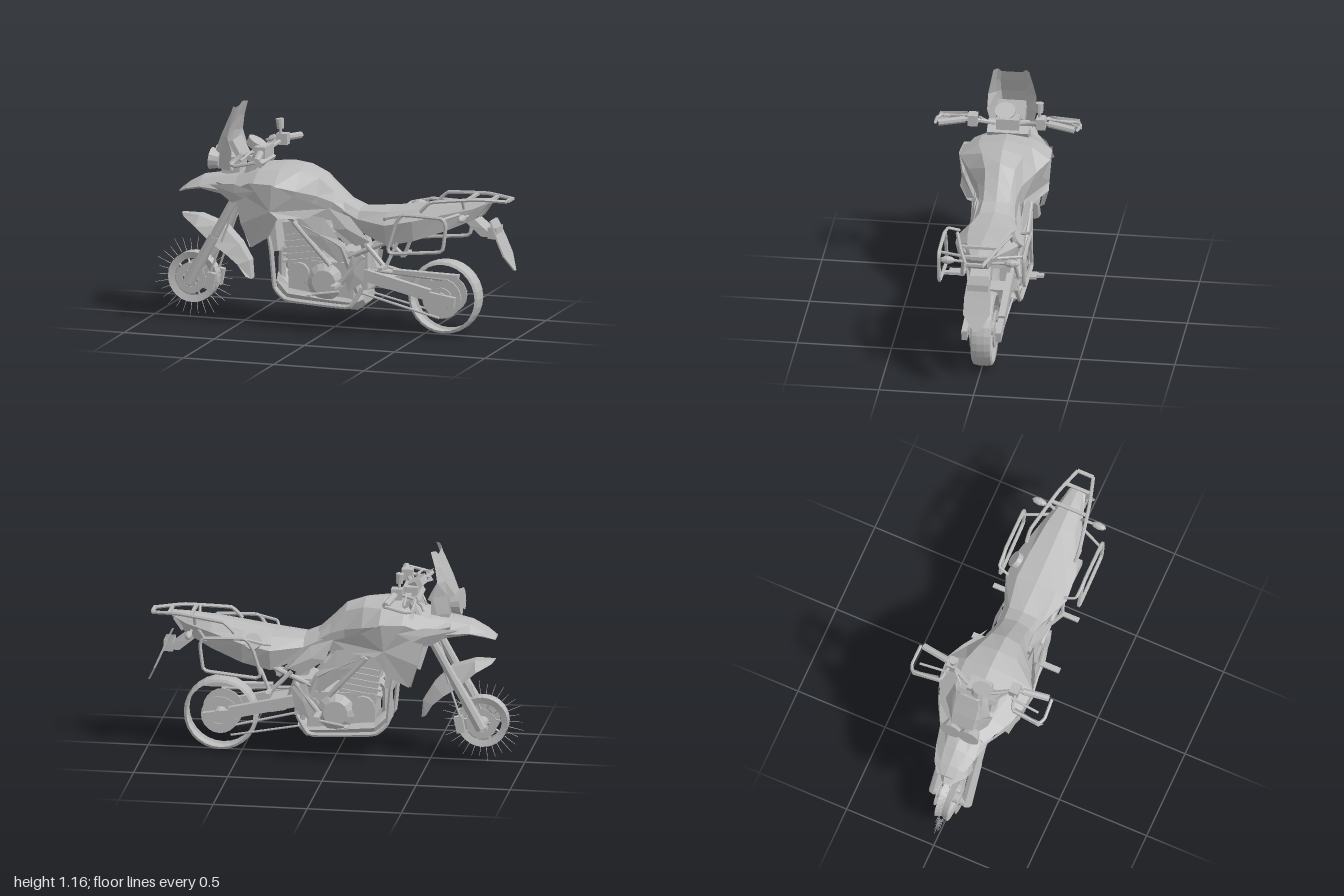
import * as THREE from 'three';

const grey = new THREE.MeshStandardMaterial({ color: 0xbababa, flatShading: true, side: THREE.DoubleSide });
grey.name = 'plain grey';
const V = (p) => new THREE.Vector3(...p);

export function createModel() {
  const root = new THREE.Group();
  root.name = 'motorcycle';

  const add = (name, geo, pos = [0, 0, 0], rot = [0, 0, 0]) => {
    const m = new THREE.Mesh(geo, grey);
    m.name = name;
    m.position.set(...pos);
    m.rotation.set(...rot);
    root.add(m);
    return m;
  };
  const box = (name, size, pos, rotZ = 0) => add(name, new THREE.BoxGeometry(...size), pos, [0, 0, rotZ]);
  // Cylinder lying along z
  const disc = (name, r, depth, pos, sides = 16) =>
    add(name, new THREE.CylinderGeometry(r, r, depth, sides), pos, [Math.PI / 2, 0, 0]);
  // Straight rod between two points, optionally tapered
  const rod = (name, a, b, r, r2 = r, sides = 8) => {
    const d = V(b).sub(V(a));
    const m = add(name, new THREE.CylinderGeometry(r2, r, d.length(), sides));
    m.position.copy(V(a)).addScaledVector(d, 0.5);
    m.quaternion.setFromUnitVectors(new THREE.Vector3(0, 1, 0), d.normalize());
  };
  const bar = (name, pts, r, closed = false) =>
    add(name, new THREE.TubeGeometry(new THREE.CatmullRomCurve3(pts.map(V), closed, 'catmullrom', 0.15), pts.length * 6, r, 6, closed));
  const mirrored = (fn) => [1, -1].forEach(fn);
  const geometryFrom = (pos) => {
    const g = new THREE.BufferGeometry();
    g.setAttribute('position', new THREE.Float32BufferAttribute(pos, 3));
    g.computeVertexNormals();
    return g;
  };
  // Open sheet through rows of points
  const sheet = (name, rows) => {
    const pos = [];
    for (let i = 0; i < rows.length - 1; i++) for (let j = 0; j < rows[i].length - 1; j++) {
      const a = rows[i][j], b = rows[i + 1][j], c = rows[i + 1][j + 1], d = rows[i][j + 1];
      pos.push(...a, ...d, ...b, ...b, ...d, ...c);
    }
    return add(name, geometryFrom(pos));
  };
  // Thin faceted panel: fan about a slightly raised centre
  const panel = (name, pts, s, bulge = 0.015) => {
    const q = pts.map(([x, y, z]) => [x, y, z * s]);
    const c = [0, 1, 2].map((k) => q.reduce((t, p) => t + p[k], 0) / q.length);
    c[2] += s * bulge;
    const pos = [];
    q.forEach((p, i) => {
      const n = q[(i + 1) % q.length];
      pos.push(...c, ...(s > 0 ? n : p), ...(s > 0 ? p : n));
    });
    return add(name, geometryFrom(pos));
  };
  // Symmetric body from rows of [x, top y, shoulder y, w, side y, w, bottom y, w]
  const loft = (name, rows) => {
    const rings = rows.map(([x, t, sy, sw, my, mw, by, bw]) => [
      [x, t, 0], [x, sy, sw], [x, my, mw], [x, by, bw], [x, by, -bw], [x, my, -mw], [x, sy, -sw]]);
    const pos = [], n = 7, last = rings.length - 1;
    for (let i = 0; i < last; i++) for (let j = 0; j < n; j++) {
      const k = (j + 1) % n;
      const a = rings[i][j], d = rings[i][k], b = rings[i + 1][j], c = rings[i + 1][k];
      pos.push(...a, ...d, ...b, ...b, ...d, ...c);
    }
    for (let j = 1; j < n - 1; j++) {
      pos.push(...rings[0][0], ...rings[0][j + 1], ...rings[0][j]);
      pos.push(...rings[last][0], ...rings[last][j], ...rings[last][j + 1]);
    }
    return add(name, geometryFrom(pos));
  };
  const ring = (name, profile, pos, sides = 28) => {
    const g = new THREE.LatheGeometry(profile.map(([r, z]) => new THREE.Vector2(r, z)), sides);
    return add(name, g.rotateX(Math.PI / 2), pos);
  };

  // Bodywork
  loft('tank', [
    [-0.62, 0.80, 0.78, 0.06, 0.76, 0.12, 0.71, 0.07], [-0.5, 0.82, 0.80, 0.11, 0.75, 0.19, 0.66, 0.14],
    [-0.38, 0.865, 0.84, 0.14, 0.78, 0.235, 0.64, 0.19], [-0.26, 0.88, 0.85, 0.14, 0.78, 0.24, 0.62, 0.18],
    [-0.16, 0.875, 0.845, 0.11, 0.75, 0.18, 0.61, 0.14], [-0.06, 0.84, 0.81, 0.08, 0.72, 0.12, 0.60, 0.11],
    [0.02, 0.76, 0.74, 0.07, 0.69, 0.10, 0.59, 0.095], [0.1, 0.685, 0.67, 0.07, 0.64, 0.095, 0.57, 0.08]]);
  loft('seat and tail', [
    [0.05, 0.71, 0.70, 0.07, 0.66, 0.095, 0.60, 0.08], [0.16, 0.665, 0.65, 0.08, 0.61, 0.11, 0.55, 0.1],
    [0.33, 0.675, 0.66, 0.11, 0.60, 0.175, 0.485, 0.14], [0.48, 0.70, 0.685, 0.10, 0.63, 0.165, 0.52, 0.14],
    [0.65, 0.73, 0.715, 0.08, 0.67, 0.115, 0.58, 0.10], [0.79, 0.745, 0.735, 0.05, 0.70, 0.07, 0.64, 0.05],
    [0.87, 0.748, 0.744, 0.03, 0.735, 0.045, 0.725, 0.03]]);
  loft('beak', [
    [-0.85, 0.69, 0.685, 0.025, 0.68, 0.05, 0.675, 0.03], [-0.8, 0.73, 0.72, 0.05, 0.705, 0.085, 0.695, 0.07],
    [-0.72, 0.775, 0.76, 0.06, 0.725, 0.11, 0.71, 0.08], [-0.5, 0.81, 0.80, 0.09, 0.72, 0.16, 0.68, 0.12]]);
  mirrored((s) => {
    panel('side shroud', [[-0.5, 0.74, 0.18], [-0.4, 0.79, 0.235], [-0.27, 0.79, 0.245], [-0.16, 0.73, 0.21], [0.0, 0.66, 0.13],
      [-0.1, 0.61, 0.18], [-0.24, 0.61, 0.235], [-0.3, 0.50, 0.205], [-0.41, 0.43, 0.165], [-0.46, 0.56, 0.19]], s, 0.035);
    panel('shroud inner face', [[-0.5, 0.73, 0.18], [-0.46, 0.56, 0.18], [-0.42, 0.43, 0.16], [-0.34, 0.50, 0.11], [-0.38, 0.7, 0.1]], s, 0);
    panel('side wing', [[-0.66, 0.74, 0.11], [-0.5, 0.77, 0.19], [-0.36, 0.75, 0.25], [-0.44, 0.70, 0.22], [-0.52, 0.66, 0.15]], s);
    panel('side cover', [[0, 0.66, 0.11], [0.12, 0.62, 0.11], [0.24, 0.50, 0.14], [0.16, 0.47, 0.13], [0.04, 0.55, 0.13]], s);
    panel('frame plate', [[-0.18, 0.63, 0.15], [-0.02, 0.61, 0.13], [0.13, 0.42, 0.13], [0.07, 0.37, 0.13], [-0.12, 0.52, 0.15]], s, 0.01);
  });
  sheet('windscreen', [[0.82, -0.66, -0.61, -0.55, 0.05, 0.11], [0.92, -0.64, -0.6, -0.53, 0.06, 0.13],
    [1.0, -0.61, -0.59, -0.555, 0.065, 0.128], [1.08, -0.575, -0.565, -0.54, 0.065, 0.112], [1.14, -0.55, -0.54, -0.515, 0.055, 0.095]]
    .map(([y, xc, xm, xs, zm, zs], i) => {
      const up = i === 4 ? 0.02 : 0;
      return [[xs, y + up, -zs], [xm, y + up, -zm - 0.02], [xc, y, -zm], [xc, y, zm], [xm, y + up, zm + 0.02], [xs, y + up, zs]];
    }));
  mirrored((s) => rod('headlight', [-0.67, 0.87, s * 0.05], [-0.62, 0.865, s * 0.05], 0.06, 0.045, 12));
  box('instrument panel', [0.025, 0.1, 0.15], [-0.53, 0.93, 0], 0.5);
  box('cockpit frame', [0.1, 0.09, 0.12], [-0.56, 0.84, 0]);

  // Front fender with raised crown
  sheet('front fender', [[-0.845, 0.56, -0.83, 0.54, 0.03], [-0.74, 0.555, -0.75, 0.50, 0.08], [-0.61, 0.51, -0.66, 0.42, 0.085],
    [-0.52, 0.42, -0.58, 0.365, 0.08], [-0.465, 0.33, -0.52, 0.31, 0.065], [-0.455, 0.23, -0.48, 0.245, 0.05]]
    .map(([x, y, ex, ey, w]) => [[ex, ey, -w], [x, y, -w * 0.5], [x, y, w * 0.5], [ex, ey, w]]));

  // Front wheel: rim, brake discs, spokes and radial bristles
  const F = [-0.78, 0.22, 0];
  ring('front rim', [[0.1, -0.025], [0.135, -0.035], [0.12, 0], [0.135, 0.035], [0.1, 0.025]], F);
  disc('front hub', 0.03, 0.18, F);
  mirrored((s) => {
    ring('front brake disc', [[0.045, -0.003], [0.082, -0.003], [0.082, 0.003], [0.045, 0.003], [0.045, -0.003]], [F[0], F[1], s * 0.06], 20);
    box('front caliper', [0.045, 0.09, 0.035], [-0.665, 0.215, s * 0.07], -0.2);
  });
  for (let i = 0; i < 30; i++) {
    const a = (i / 30) * Math.PI * 2, c = Math.cos(a), s = Math.sin(a), r = 0.2 + 0.02 * ((i * 7 + 1) % 3) / 2;
    rod('tyre bristle', [F[0] + c * 0.14, F[1] + s * 0.14, 0], [F[0] + c * r, F[1] + s * r, 0], 0.002, 0.001, 4);
    if (i % 3 === 0) rod('front spoke', [F[0] + c * 0.03, F[1] + s * 0.03, 0.02], [F[0] + c * 0.12, F[1] + s * 0.12, 0], 0.006, 0.006, 5);
  }

  // Forks and steering
  mirrored((s) => {
    rod('fork lower', [-0.785, 0.2, s * 0.09], [-0.64, 0.46, s * 0.09], 0.032, 0.027);
    rod('fork upper', [-0.65, 0.44, s * 0.09], [-0.41, 0.88, s * 0.09], 0.024);
    bar('brake hose', [[-0.67, 0.25, s * 0.075], [-0.6, 0.45, s * 0.06], [-0.54, 0.62, s * 0.05], [-0.46, 0.85, s * 0.06], [-0.38, 0.95, s * 0.15]], 0.006);
  });
  box('lower yoke', [0.09, 0.04, 0.24], [-0.52, 0.68, 0], -0.5);
  box('upper yoke', [0.09, 0.03, 0.22], [-0.41, 0.88, 0], -0.5);
  bar('handlebar', [[-0.315, 0.94, -0.36], [-0.345, 0.95, -0.2], [-0.4, 0.91, -0.07], [-0.4, 0.91, 0.07], [-0.345, 0.95, 0.2], [-0.315, 0.94, 0.36]], 0.012);
  box('handlebar clamp', [0.08, 0.06, 0.12], [-0.4, 0.92, 0]);
  rod('round gauge', [-0.44, 0.94, 0.02], [-0.42, 0.975, 0.02], 0.05, 0.055, 12);
  mirrored((s) => {
    rod('grip', [-0.34, 0.95, s * 0.22], [-0.315, 0.935, s * 0.36], 0.019);
    box('switch block', [0.06, 0.06, 0.05], [-0.35, 0.95, s * 0.18]);
    rod('lever', [-0.4, 0.95, s * 0.18], [-0.41, 0.93, s * 0.34], 0.007);
    bar('hand guard bar', [[-0.37, 0.95, s * 0.19], [-0.45, 0.93, s * 0.21], [-0.455, 0.91, s * 0.36], [-0.42, 0.91, s * 0.38], [-0.315, 0.935, s * 0.375]], 0.009);
    panel('hand guard', [[-0.44, 0.95, 0.22], [-0.46, 0.93, 0.37], [-0.44, 0.88, 0.385], [-0.46, 0.865, 0.36], [-0.455, 0.9, 0.21]], s, 0.005);
  });
  rod('fluid reservoir', [-0.36, 1.005, -0.17], [-0.365, 1.058, -0.17], 0.019, 0.022, 10);
  rod('reservoir stem', [-0.36, 0.95, -0.17], [-0.36, 1.005, -0.17], 0.008);

  // Engine
  box('radiator', [0.05, 0.24, 0.26], [-0.31, 0.53, 0], 0.1);
  box('cylinder block', [0.2, 0.26, 0.2], [-0.14, 0.45, 0], 0.15);
  for (let i = 0; i < 5; i++) box('cylinder fin', [0.215, 0.012, 0.22], [-0.15 + i * 0.004, 0.37 + i * 0.035, 0], 0.15);
  box('crankcase', [0.36, 0.2, 0.22], [-0.04, 0.27, 0]);
  box('gearbox', [0.16, 0.2, 0.18], [0.13, 0.33, 0]);
  ring('clutch cover', [[0, -0.145], [0.065, -0.145], [0.1, -0.12], [0.1, 0.12], [0.065, 0.145], [0, 0.145]], [-0.015, 0.265, 0], 14);
  disc('generator cover', 0.06, 0.26, [-0.16, 0.3, 0], 12);
  disc('sprocket cover', 0.05, 0.24, [0.12, 0.29, 0], 10);
  mirrored((s) => bar('exhaust header', [[-0.22, 0.44, s * 0.05], [-0.27, 0.4, s * 0.06], [-0.27, 0.26, s * 0.06], [-0.2, 0.18, s * 0.05]], 0.02));
  loft('skid plate', [
    [-0.29, 0.30, 0.29, 0.08, 0.25, 0.10, 0.20, 0.08], [-0.22, 0.24, 0.23, 0.1, 0.19, 0.13, 0.14, 0.09],
    [0, 0.20, 0.20, 0.1, 0.17, 0.13, 0.12, 0.08], [0.15, 0.19, 0.19, 0.1, 0.16, 0.12, 0.115, 0.07], [0.19, 0.2, 0.2, 0.08, 0.18, 0.1, 0.15, 0.06]]);

  // Frame, foot pegs and racks
  mirrored((s) => {
    bar('cradle tube', [[-0.36, 0.66, s * 0.1], [-0.31, 0.42, s * 0.13], [-0.29, 0.22, s * 0.13], [-0.22, 0.16, s * 0.14], [0.12, 0.14, s * 0.13], [0.19, 0.24, s * 0.12]], 0.013);
    bar('main spar', [[-0.38, 0.68, s * 0.08], [-0.12, 0.56, s * 0.13], [0.08, 0.46, s * 0.12], [0.17, 0.22, s * 0.11]], 0.022);
    rod('frame brace', [-0.18, 0.58, s * 0.15], [0.02, 0.36, s * 0.14], 0.014);
    rod('subframe tube', [0.1, 0.4, s * 0.12], [0.5, 0.58, s * 0.13], 0.014);
    panel('heel guard', [[0.14, 0.42, 0.14], [0.22, 0.4, 0.14], [0.2, 0.28, 0.14], [0.12, 0.22, 0.14], [0.1, 0.3, 0.14]], s, 0.01);
    rod('peg bracket', [0.22, 0.48, s * 0.13], [0.33, 0.37, s * 0.15], 0.013);
    rod('peg brace', [0.4, 0.53, s * 0.13], [0.33, 0.37, s * 0.15], 0.01);
    rod('heel bracket', [0.2, 0.42, s * 0.13], [0.07, 0.26, s * 0.14], 0.014);
    box('rider foot peg', [0.03, 0.015, 0.12], [0.07, 0.265, s * 0.19]);
    box('passenger foot peg', [0.025, 0.015, 0.11], [0.33, 0.38, s * 0.19]);
    rod('foot lever', [0.07, 0.22, s * 0.14], [-0.08, 0.2, s * 0.16], 0.008);
    box('lever pad', [0.02, 0.012, 0.06], [-0.08, 0.2, s * 0.17]);
    bar('side rack', [[0.41, 0.62, s * 0.225], [0.45, 0.675, s * 0.225], [0.67, 0.67, s * 0.225], [0.69, 0.63, s * 0.225],
      [0.675, 0.51, s * 0.225], [0.65, 0.49, s * 0.225], [0.39, 0.465, s * 0.225], [0.37, 0.49, s * 0.225]], 0.01, true);
    bar('rack front stay', [[0.33, 0.63, s * 0.16], [0.35, 0.65, s * 0.22], [0.46, 0.675, s * 0.225]], 0.008);
    rod('rack rear stay', [0.72, 0.67, s * 0.08], [0.66, 0.66, s * 0.22], 0.008);
    bar('tail rack rail', [[0.52, 0.68, s * 0.14], [0.58, 0.735, s * 0.14], [0.82, 0.755, s * 0.09], [0.97, 0.745, s * 0.045]], 0.01);
    rod('rack rail post', [0.74, 0.69, s * 0.07], [0.74, 0.75, s * 0.105], 0.008);
    rod('indicator stalk', [0.76, 0.66, s * 0.05], [0.76, 0.665, s * 0.15], 0.008);
    add('indicator', new THREE.SphereGeometry(0.03, 8, 6), [0.76, 0.665, s * 0.17]).scale.set(0.7, 0.7, 1.4);
  });
  for (const [x, w] of [[0.97, 0.09], [0.88, 0.14], [0.76, 0.2]]) box('tail rack crossbar', [0.018, 0.014, w], [x, 0.748, 0]);
  add('side filler cap', new THREE.CylinderGeometry(0.045, 0.045, 0.03, 14), [0.42, 0.64, -0.155], [-1, 0, 0]);

  // Tail light and plate holder, set slightly to the right like the rear wheel
  const Z = -0.01;
  box('tail light', [0.02, 0.08, 0.08], [0.83, 0.69, Z], -0.6);
  // Closed strip through side-profile points, each with a half-width
  const slab = (name, pts, t) => sheet(name, pts.map(([x, y, w]) =>
    [[x - t, y, Z - w], [x - t, y, Z + w], [x + t, y, Z + w], [x + t, y, Z - w], [x - t, y, Z - w]]));
  slab('plate arm', [[0.74, 0.65, 0.05], [0.8, 0.6, 0.055], [0.86, 0.55, 0.055]], 0.035);
  slab('plate arm end', [[0.885, 0.6, 0.055], [0.885, 0.54, 0.055]], 0.025);
  slab('number plate', [[0.875, 0.635, 0.055], [0.92, 0.53, 0.07], [0.955, 0.45, 0.07], [0.993, 0.37, 0.012]], 0.005);

  // Rear wheel, an open tyre shell around a hub and disc
  const R = [0.61, 0.205, Z];
  ring('rear tyre', [[0.178, -0.055], [0.192, -0.048], [0.197, -0.02], [0.197, 0.02], [0.192, 0.048], [0.178, 0.055]], R);
  disc('rear hub', 0.035, 0.19, R, 12);
  ring('rear brake disc', [[0.05, -0.004], [0.1, -0.004], [0.1, 0.004], [0.05, 0.004], [0.05, -0.004]], [0.61, 0.205, -0.065], 20);
  disc('rear sprocket', 0.108, 0.01, [0.61, 0.205, 0.055], 20);
  disc('sprocket carrier', 0.06, 0.03, [0.61, 0.205, 0.055], 12);
  mirrored((s) => {
    box('swingarm', [0.42, 0.062, 0.035], [0.35, 0.275, s * 0.09], -0.23);
    box('axle block', [0.17, 0.055, 0.03], [0.61, 0.207, s * 0.09], -0.15);
  });
  rod('brake rod', [0.16, 0.18, -0.1], [0.55, 0.1, -0.075], 0.006);
  box('swingarm bridge', [0.08, 0.06, 0.2], [0.3, 0.28, 0], -0.2);
  rod('chain upper', [0.12, 0.34, 0.07], [0.62, 0.31, 0.065], 0.009);
  rod('chain lower', [0.12, 0.22, 0.07], [0.6, 0.1, 0.065], 0.007);
  box('chain guard', [0.36, 0.022, 0.04], [0.53, 0.335, 0.075], -0.02);
  rod('shock absorber', [0.16, 0.5, 0], [0.24, 0.26, 0], 0.035);
  return root;
}
